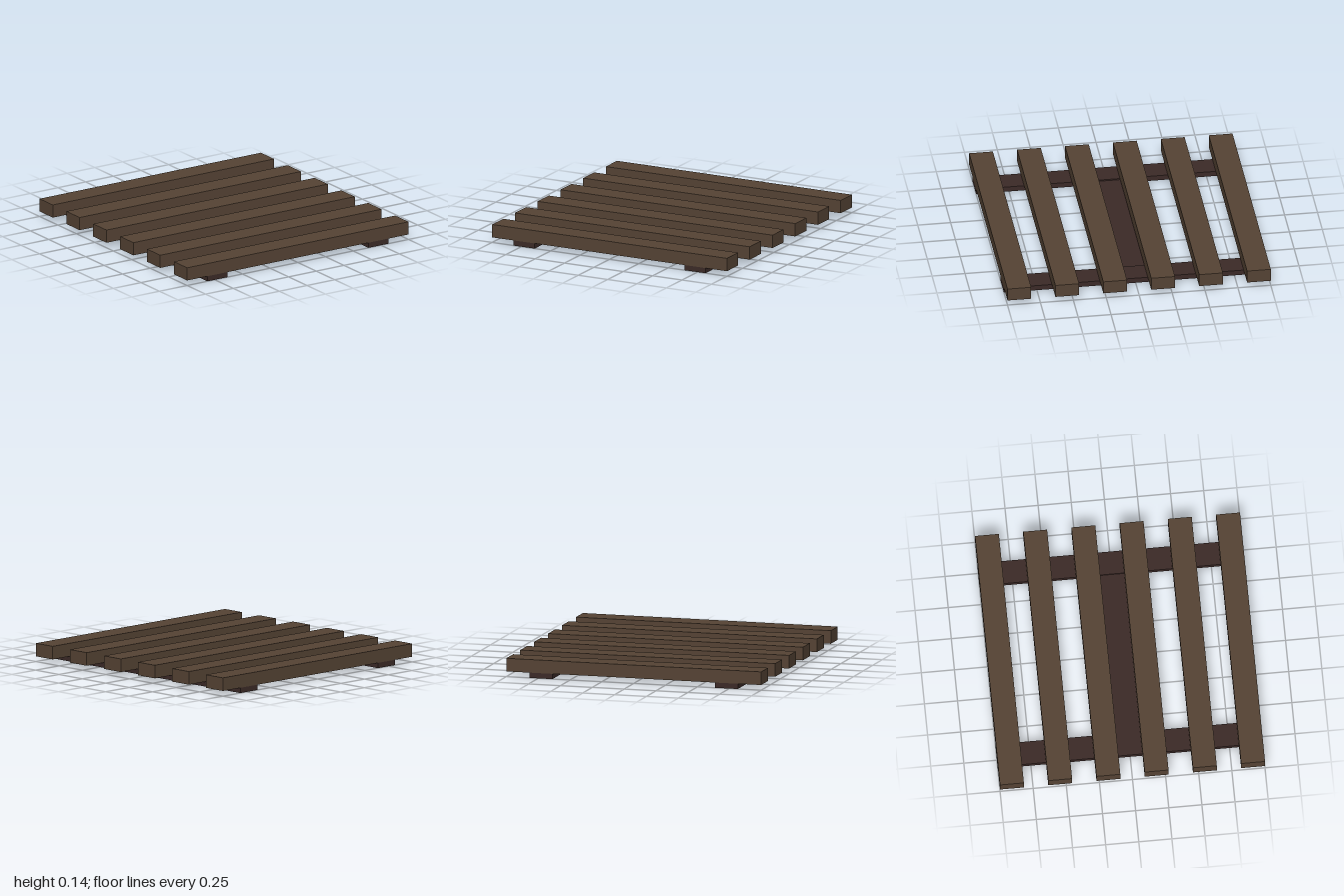
import * as THREE from 'three';

export function createModel() {
  const group = new THREE.Group();
  const slatWood = new THREE.MeshStandardMaterial({ color: 0x554334 });
  const darkWood = new THREE.MeshStandardMaterial({ color: 0x3b2a27 });

  const addBoard = (name, material, size, position) => {
    const board = new THREE.Mesh(new THREE.BoxGeometry(...size), material);
    board.name = name;
    board.position.set(...position);
    group.add(board);
  };

  // Six evenly spaced top slats
  const width = 0.18;
  const spacing = (2 - width) / 5;
  for (let i = 0; i < 6; i++) {
    addBoard(`slat${i + 1}`, slatWood, [2, 0.1, width], [0, 0.09, (i - 2.5) * spacing]);
  }

  // Two runners underneath, front to back
  addBoard('leftRunner', darkWood, [width, 0.04, 2], [0.727, 0.02, 0]);
  addBoard('rightRunner', darkWood, [width, 0.04, 2], [-0.727, 0.02, 0]);

  // Thin panel between the runners, below the two middle slats
  addBoard('centrePanel', darkWood, [1.274, 0.02, 0.36], [0, 0.02, 0]);

  return group;
}
